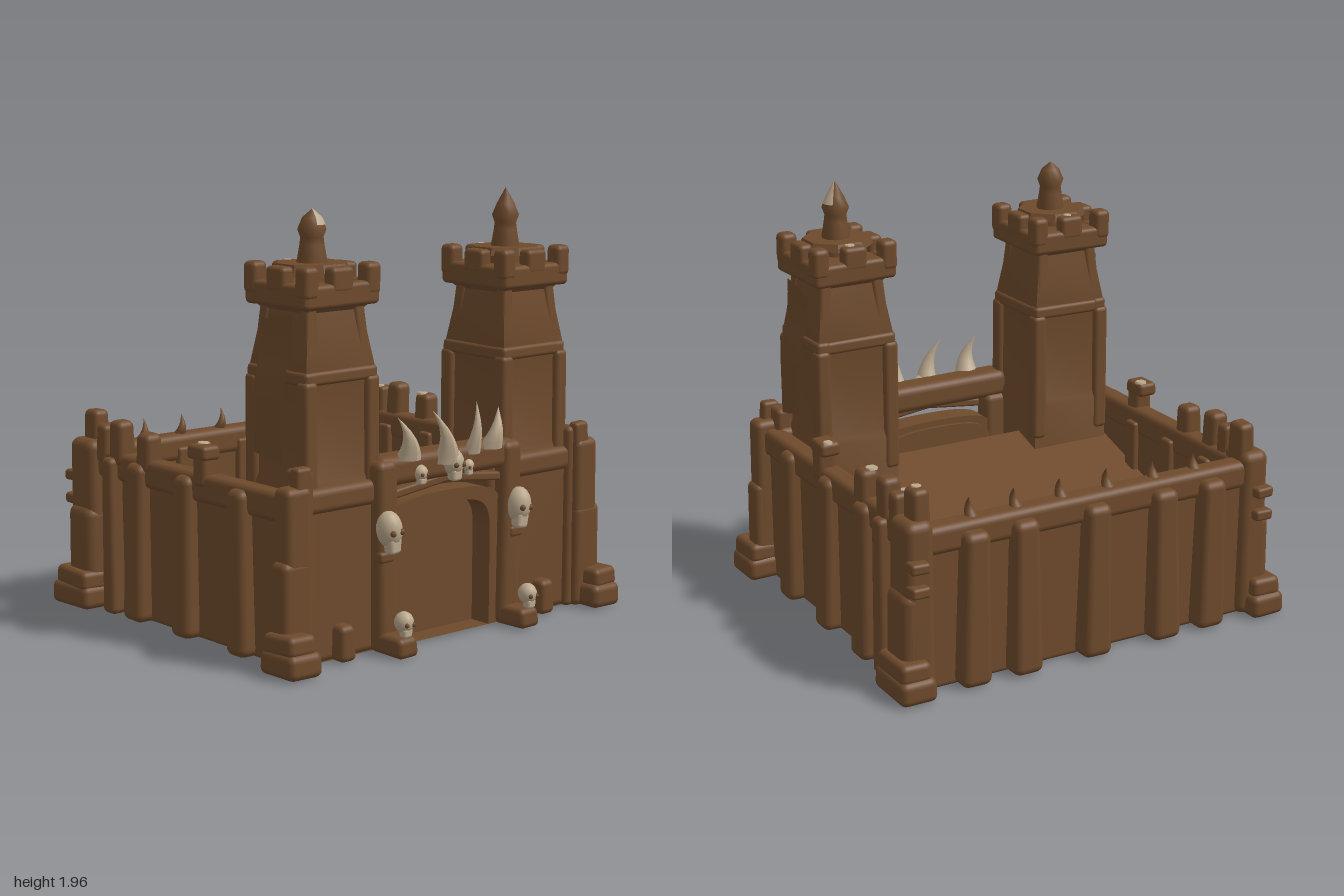
import * as THREE from 'three';
import { toCreasedNormals } from 'three/addons/utils/BufferGeometryUtils.js';
import { RoundedBoxGeometry } from 'three/addons/geometries/RoundedBoxGeometry.js';

const clay = new THREE.MeshStandardMaterial({ color: 0x6e4a2c });
clay.name = 'brownClay';
const hide = new THREE.MeshStandardMaterial({ color: 0x6c492b, side: THREE.DoubleSide });
hide.name = 'brownHide';
const bone = new THREE.MeshStandardMaterial({ color: 0xbba88d });
bone.name = 'paleBone';
const SIDES = [-1, 1];

export function createModel() {
  const root = new THREE.Group();
  let seed = 7;
  const rnd = () => ((seed = (seed * 16807) % 2147483647) / 2147483647) - 0.5;

  const add = (name, geo, mat = clay, parent = root) => {
    const m = new THREE.Mesh(geo, mat);
    m.name = name;
    parent.add(m);
    return m;
  };
  // Soft-edged block given by its bounds; top is scaled by taper
  const block = (name, x0, x1, y0, y1, z0, z1, taper = 1, wonk = 0, mat = clay, parent = root) => {
    const w = Math.abs(x1 - x0), h = y1 - y0, d = Math.abs(z1 - z0);
    const g = new RoundedBoxGeometry(w, h, d, 3, Math.min(w, h, d) * 0.3);
    const p = g.attributes.position;
    for (let i = 0; i < p.count; i++) {
      const k = 1 + (taper - 1) * (p.getY(i) / h + 0.5);
      p.setX(i, p.getX(i) * k);
      p.setZ(i, p.getZ(i) * k);
    }
    const m = add(name, g, mat, parent);
    m.position.set((x0 + x1) / 2, (y0 + y1) / 2, (z0 + z1) / 2);
    m.rotation.set(rnd() * wonk, rnd() * wonk, rnd() * wonk);
    return m;
  };
  // Square tapering column from [height, half width] pairs
  const squareLathe = (profile) => {
    const pts = profile.map(([y, r]) => new THREE.Vector2(r * Math.SQRT2, y));
    return toCreasedNormals(new THREE.LatheGeometry(pts, 4).rotateY(Math.PI / 4), 0.5);
  };
  // Curved tapering horn
  const horn = (name, x, y, z, h, r, bend, mat = bone) => {
    const g = new THREE.ConeGeometry(r, h, 10, 6).translate(0, h / 2, 0);
    const p = g.attributes.position;
    for (let i = 0; i < p.count; i++) {
      const t = p.getY(i) / h;
      p.setX(i, p.getX(i) + bend * t * t);
      p.setZ(i, p.getZ(i) + 0.03 * Math.sin(t * Math.PI));
    }
    g.computeVertexNormals();
    add(name, g, mat).position.set(x, y, z);
  };
  const skull = (x, y, z, r, tall, lean = 0) => {
    const g = new THREE.Group();
    g.name = 'skull';
    root.add(g);
    g.position.set(x, y, z);
    g.rotation.z = lean;
    add('cranium', new THREE.SphereGeometry(r, 14, 10), bone, g).scale.set(0.95, tall, 1);
    block('jaw', -r * 0.5, r * 0.5, -r * (tall + 0.4), -r * 0.5, -r * 0.2, r * 0.7, 1.2, 0, bone, g);
    for (const s of SIDES) {
      const e = add('eyeSocket', new THREE.SphereGeometry(r * 0.24, 8, 6), clay, g);
      e.position.set(s * r * 0.4, -r * 0.12, r * 0.86);
    }
  };

  // Courtyard body with a floor rising to the front
  const body = new THREE.BoxGeometry(1.64, 0.6, 1.2).translate(0, 0.3, -0.15);
  const bp = body.attributes.position;
  for (let i = 0; i < bp.count; i++) {
    if (bp.getY(i) > 0.3) bp.setY(i, bp.getZ(i) < 0 ? 0.22 : 0.6);
    else bp.setY(i, 0.012);
  }
  body.computeVertexNormals();
  add('courtyard', body);

  // Back wall with buttresses and spikes
  block('backWall', -0.84, 0.84, 0.01, 0.74, -0.81, -0.73);
  block('backRail', -0.85, 0.85, 0.63, 0.76, -0.83, -0.715);
  for (const x of [-0.61, -0.36, 0, 0.36, 0.61]) {
    block('backButtress', x - 0.075, x + 0.075, 0.01, 0.72, -0.9, -0.77, 0.8, 0.04);
    block('innerRib', x - 0.04, x + 0.04, 0.15, 0.7, -0.75, -0.7);
  }
  for (const x of [-0.57, -0.35, -0.11, 0.13, 0.36, 0.58]) horn('wallSpike', x, 0.74, -0.78, 0.11, 0.035, 0.02, clay);

  for (const s of SIDES) {
    // Side wall, rail, buttresses and crenels
    block('sideWall', s * 0.79, s * 0.865, 0.01, 0.74, -0.8, 0.72);
    block('sideRail', s * 0.785, s * 0.89, 0.63, 0.76, -0.8, 0.72);
    for (const [z, w] of [[0.39, 0.13], [0, 0.13], [-0.36, 0.14], [-0.55, 0.09]])
      block('sideButtress', s * 0.81, s * 0.94, 0.01, 0.74, z - w / 2, z + w / 2, 0.82, 0.03);
    for (const z of [-0.55, -0.25, 0.05]) block('innerRib', s * 0.76, s * 0.81, 0.15, 0.7, z - 0.04, z + 0.04);
    for (const [z, w, y] of [[0.1, 0.09, 0.87], [-0.32, 0.1, 0.88], [-0.53, 0.1, 0.91], [-0.64, 0.08, 0.88]])
      block('sideCrenel', s * 0.8, s * 0.9, 0.7, y, z - w / 2, z + w / 2, 0.9, 0.1);
    block('crenelLip', s * 0.8, s * 0.9, 0.82, 0.885, 0.02, 0.15, 0.95, 0.05);

    // Corner posts with stone feet
    for (const f of SIDES) {
      const back = f < 0;
      block('cornerPost', s * 0.79, s * 0.935, 0.01, 0.8, f * 0.66, f * (back ? 0.85 : 0.77), 0.95, 0.02);
      block('cornerSkirt', s * 0.79, s * 0.955, 0.01, 0.49, f * 0.66, f * (back ? 0.85 : 0.77), 0.97, 0.02);
      block('cornerCap', s * 0.79, s * 0.88, 0.74, back ? 0.93 : 0.88, f * 0.7, f * (back ? 0.81 : 0.76), 0.9, 0.1);
      const reach = back ? 0.92 : 0.87;
      block('cornerFoot', s * 0.82, s * 1.0, 0.01, 0.12, f * 0.64, f * reach, 0.96, 0.04);
      block('cornerStone', s * 0.84, s * 0.99, 0.1, 0.19, f * 0.65, f * (reach - 0.02), 0.95, 0.12);
    }
    for (const y of [0.48, 0.59]) block('backPeg', s * 0.84, s * 0.93, y, y + 0.05, -0.89, -0.8, 1, 0.1);

    // Front wall panel, framed beside the gate
    block('frontWall', s * 0.28, s * 0.86, 0.01, 0.75, 0.6, 0.71);
    block('frontRail', s * 0.4, s * 0.84, 0.66, 0.77, 0.6, 0.73);
    block('frontRib', s * 0.76, s * 0.84, 0.01, 0.86, 0.62, 0.74, 0.95);
    block('frontStub', s * 0.56, s * 0.65, 0.01, 0.17, 0.68, 0.78, 0.85, 0.05);

    // Watch tower
    const tower = new THREE.Group();
    tower.name = 'watchTower';
    tower.position.set(s * 0.575, 0, 0.495);
    root.add(tower);
    const tBlock = (n, ...a) => block(n, ...a, 1, 0.03, clay, tower);
    add('shaft', squareLathe([[0.01, 0], [0.01, 0.2], [0.76, 0.2], [0.8, 0.185], [1.18, 0.18], [1.25, 0.19],
      [1.5, 0.15], [1.53, 0.18], [1.58, 0.2], [1.615, 0.2], [1.615, 0]]), clay, tower);
    for (const a of SIDES) {
      for (const b of SIDES) {
        block('towerEdge', a * 0.135, a * 0.21, 0.6, 1.22, b * 0.135, b * 0.21, 0.97, 0, clay, tower);
        const strut = block('neckEdge', a * 0.11, a * 0.175, 1.2, 1.54, b * 0.11, b * 0.175, 0.9, 0, clay, tower);
        strut.rotation.set(-b * 0.08, 0, a * 0.08);
        tBlock('cornerMerlon', a * 0.13, a * 0.212, 1.56, 1.7, b * 0.13, b * 0.212);
      }
      tBlock('towerBand', -0.2, 0.2, 1.2, 1.26, a * 0.13, a * 0.2);
      tBlock('towerBand', a * 0.13, a * 0.2, 1.2, 1.26, -0.2, 0.2);
      tBlock('crownRim', -0.205, 0.205, 1.52, 1.622, a * 0.14, a * 0.208);
      tBlock('crownRim', a * 0.14, a * 0.208, 1.52, 1.622, -0.205, 0.205);
      tBlock('middleMerlon', -0.06, 0.06, 1.58, 1.69, a * 0.14, a * 0.21);
      tBlock('middleMerlon', a * 0.14, a * 0.21, 1.58, 1.69, -0.06, 0.06);
    }
    // Raised crown plate carrying the spire
    add('crownPlate', toCreasedNormals(new THREE.CylinderGeometry(0.155, 0.17, 0.034, 8).rotateY(Math.PI / 8), 0.5),
      clay, tower).position.y = 1.678;
    const top = s > 0 ? 1.96 : 1.92;
    const spire = [[0.07, 1.6], [0.066, 1.7], [0.054, 1.77], [0.05, 1.8], [0.063, 1.835], [0.042, 1.885], [0, top]];
    add('spire', new THREE.LatheGeometry(spire.map(q => new THREE.Vector2(...q)), 12), clay, tower);
    const tip = [[0.058, 1.855], [0.044, 1.885], [0.001, top + 0.003]].map(q => new THREE.Vector2(...q));
    add('spireTip', new THREE.LatheGeometry(tip, 6, s > 0 ? 0.8 : -0.3, s > 0 ? 1.7 : 1.3), bone, tower);

    // Hide hanging on the outer side of the tower
    const cloth = new THREE.PlaneGeometry(0.21, 0.6, 6, 10).rotateY(Math.PI / 2);
    const cp = cloth.attributes.position;
    for (let i = 0; i < cp.count; i++) {
      const t = 0.5 - cp.getY(i) / 0.6;
      cp.setX(i, s * (0.775 + 0.05 * THREE.MathUtils.smoothstep(t, 0.1, 0.6) + 0.005 * Math.sin(cp.getZ(i) * 60)));
      cp.setY(i, 1.48 - 0.6 * t + 0.2 * cp.getZ(i) * (0.5 - t) * 2);
      cp.setZ(i, 0.5 + cp.getZ(i) * (1 - 0.1 * t));
    }
    cloth.computeVertexNormals();
    add('hangingHide', cloth, hide);

    // Gate pillar with skulls
    block('gatePillar', s * 0.31, s * 0.43, 0.01, 0.85, 0.62, 0.775, 0.95, 0.02);
    block('pillarFoot', s * 0.31, s * 0.43, 0.01, 0.1, 0.7, 0.9, 0.9, 0.05);
    block('skullShelf', s * 0.35, s * 0.43, 0.41, 0.46, 0.72, 0.78, 1, 0.1);
    skull(s * 0.39, 0.56, 0.785, 0.06, 1.35, s * -0.08);
    skull(s * 0.375, 0.165, 0.865, 0.045, 1.05);
  }

  // Gate arch, closed door and lintel with a gap under it
  const archPath = (shape, w, h) => {
    shape.moveTo(-w, 0.015);
    shape.lineTo(w, 0.015);
    shape.lineTo(w, h - 0.15);
    shape.bezierCurveTo(w, h - 0.02, w * 0.75, h, 0, h);
    shape.bezierCurveTo(-w * 0.75, h, -w, h - 0.02, -w, h - 0.15);
    shape.lineTo(-w, 0.015);
    return shape;
  };
  const extrude = (shape, depth, z) => toCreasedNormals(
    new THREE.ExtrudeGeometry(shape, { depth, bevelEnabled: false, curveSegments: 10 }).translate(0, 0, z), 0.6);
  const frame = archPath(new THREE.Shape(), 0.34, 0.67);
  frame.holes.push(archPath(new THREE.Path(), 0.265, 0.615));
  add('gateArch', extrude(frame, 0.12, 0.61));
  add('gateDoor', extrude(archPath(new THREE.Shape(), 0.3, 0.64), 0.03, 0.59));
  block('lintel', -0.42, 0.42, 0.73, 0.86, 0.61, 0.76, 0.97, 0.01);
  for (const s of SIDES) {
    const brace = block('lintelBrace', -0.17, 0.17, 0.69, 0.73, 0.68, 0.74);
    brace.position.x = s * 0.16;
    brace.rotation.z = -s * 0.12;
  }

  // Horns and skulls on the lintel
  horn('horn', -0.245, 0.84, 0.74, 0.19, 0.058, -0.06);
  horn('horn', -0.03, 0.8, 0.75, 0.24, 0.06, -0.08);
  horn('horn', 0.135, 0.82, 0.74, 0.23, 0.04, 0.03);
  horn('horn', 0.25, 0.83, 0.74, 0.18, 0.055, 0.05);
  skull(0, 0.8, 0.765, 0.052, 1.15);
  skull(-0.185, 0.775, 0.755, 0.036, 1);
  skull(0.1, 0.77, 0.755, 0.03, 1);

  // Worn pale chips on wall and tower tops
  for (const [x, y, z, r] of [[-0.83, 0.886, 0.06, 0.03], [0.86, 0.886, 0.04, 0.024], [0.83, 0.88, -0.33, 0.03],
    [0.83, 0.88, -0.64, 0.022], [0.83, 0.93, -0.74, 0.025], [-0.57, 1.69, 0.33, 0.022], [0.585, 1.69, 0.335, 0.026]])
    add('boneChip', new THREE.CylinderGeometry(r - 0.004, r, 0.009, 7), bone).position.set(x, y, z);
  return root;
}
